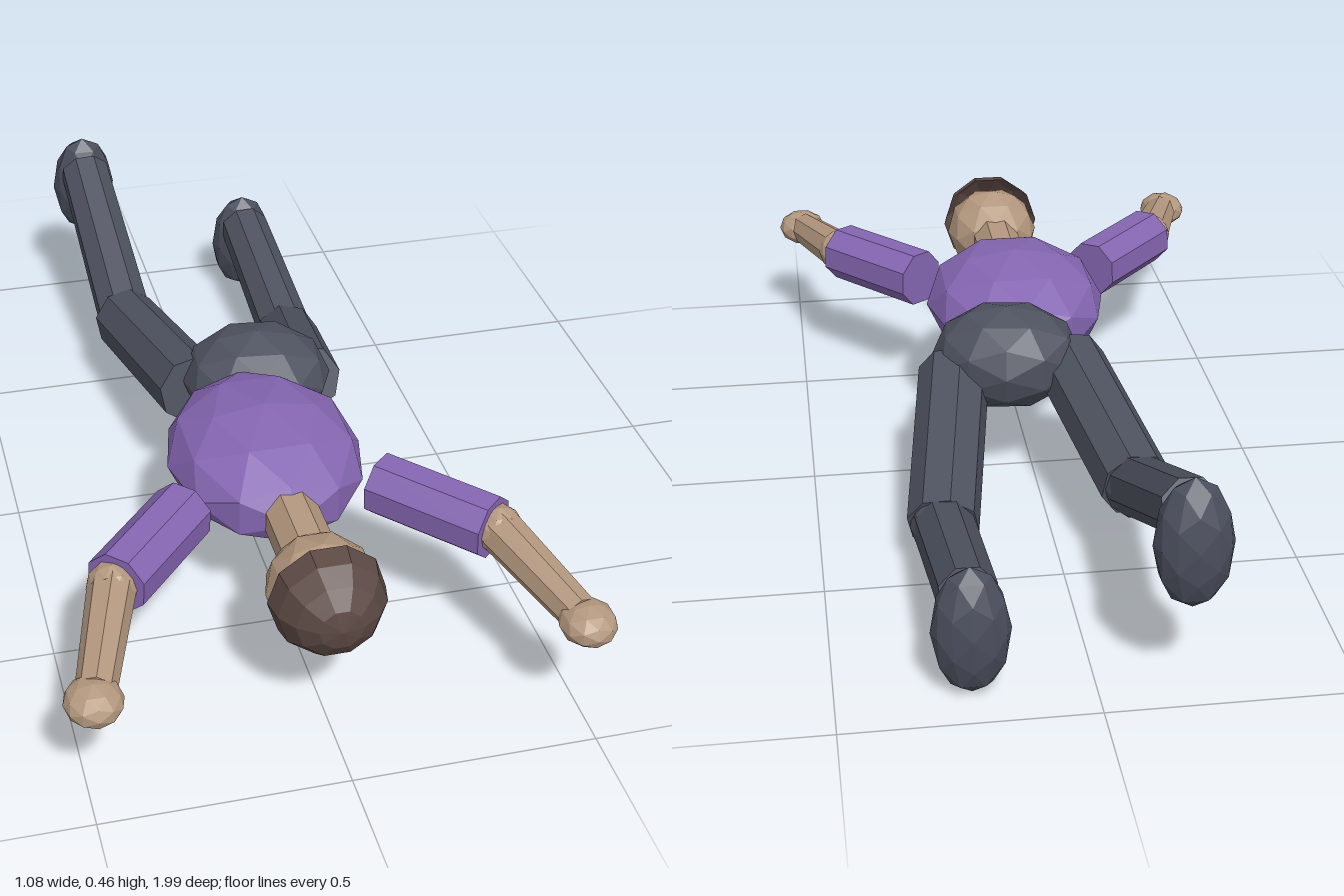
import * as THREE from 'three';

const mat = (name, color) => Object.assign(
  new THREE.MeshStandardMaterial({ color, flatShading: true }), { name });

export function createModel() {
  const model = new THREE.Group();
  model.name = 'proneFigure';

  const shirt = mat('shirt purple', 0x8566b2);
  const trousers = mat('trouser slate', 0x4e525f);
  const shoe = mat('shoe slate', 0x494d5b);
  const skin = mat('skin', 0xb4987f);
  const hairBrown = mat('hair brown', 0x5c4944);
  const eyeDark = mat('eye dark', 0x2a2422);
  hairBrown.side = THREE.DoubleSide;

  const add = (name, geometry, material) => {
    const mesh = new THREE.Mesh(geometry, material);
    mesh.name = name;
    model.add(mesh);
    return mesh;
  };

  // Faceted ellipsoid
  const blob = (name, material, pos, radii) => {
    const mesh = add(name, new THREE.IcosahedronGeometry(1, 1), material);
    mesh.position.set(...pos);
    mesh.scale.set(...radii);
    return mesh;
  };

  // Eight-sided limb from point a to point b
  const up = new THREE.Vector3(0, 1, 0);
  const limb = (name, material, a, b, ra, rb = ra) => {
    const start = new THREE.Vector3(...a), end = new THREE.Vector3(...b);
    const dir = end.clone().sub(start);
    const geometry = new THREE.CylinderGeometry(rb, ra, dir.length(), 8);
    geometry.rotateY(Math.PI / 8);
    const mesh = add(name, geometry, material);
    mesh.quaternion.setFromUnitVectors(up, dir.normalize());
    mesh.position.copy(start).add(end).multiplyScalar(0.5);
    return mesh;
  };

  // Trunk
  blob('torso', shirt, [0, 0.287, 0.293], [0.21, 0.129, 0.262]);
  blob('pelvis', trousers, [0.058, 0.287, -0.01], [0.168, 0.118, 0.142]).rotation.y = -0.12;

  // Neck and head, face turned to the ground
  limb('neck', skin, [0, 0.287, 0.5], [0, 0.287, 0.68], 0.06);
  blob('head', skin, [0, 0.285, 0.753], [0.113, 0.106, 0.118]);
  const hair = add('hair', new THREE.SphereGeometry(0.119, 10, 4, 0, Math.PI * 2, 0, Math.PI / 2), hairBrown);
  hair.geometry.rotateX(Math.PI / 2);
  hair.position.set(0, 0.294, 0.787);

  for (const [side, s] of [['left', 1], ['right', -1]]) {
    blob(side + 'Eye', eyeDark, [0.044 * s, 0.191, 0.775], [0.014, 0.012, 0.014]);

    // Arms stretched forward
    const elbow = [0.397 * s, 0.287, 0.657];
    const wrist = [0.476 * s, 0.252, 0.91];
    limb(side + 'Sleeve', shirt, [0.21 * s, 0.287, 0.452], [0.388 * s, 0.287, 0.652], 0.068);
    blob(side + 'Elbow', skin, elbow, [0.052, 0.052, 0.052]);
    limb(side + 'Forearm', skin, elbow, wrist, 0.049, 0.04);
    blob(side + 'Hand', skin, [0.484 * s, 0.249, 0.932], [0.058, 0.041, 0.063]);
  }

  // Legs, each bent differently
  const legs = [
    ['left', [0.178, 0.252, -0.02], [0.246, 0.107, -0.44], [0.238, 0.192, -0.86], [0.237, 0.135, -0.888]],
    ['right', [-0.085, 0.262, -0.02], [-0.155, 0.19, -0.475], [-0.173, 0.378, -0.91], [-0.172, 0.325, -0.945]],
  ];
  for (const [side, hip, knee, ankle, foot] of legs) {
    limb(side + 'Thigh', trousers, hip, knee, 0.08, 0.077);
    blob(side + 'Knee', trousers, knee, [0.07, 0.07, 0.07]);
    limb(side + 'Shin', trousers, knee, ankle, 0.066, 0.061);
    blob(side + 'Shoe', shoe, foot, [0.078, 0.133, 0.055]).rotation.x = 0.06;
  }

  return model;
}
